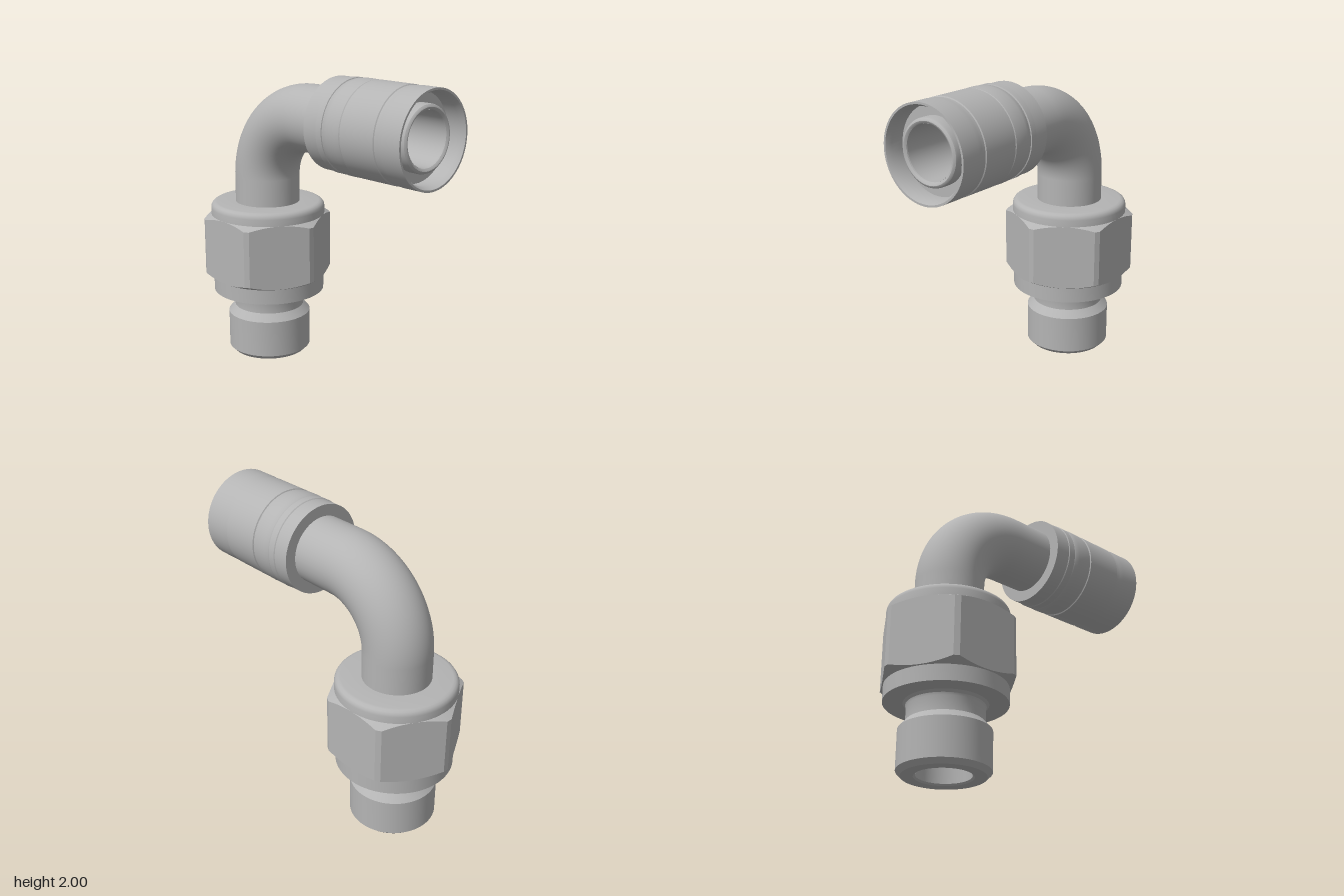
import * as THREE from 'three';
import { toCreasedNormals } from 'three/addons/utils/BufferGeometryUtils.js';

const AXIS_X = -0.51; // vertical axis of nut and threaded end
const AXIS_Y = 1.7;   // horizontal axis of the sleeve
const BEND = 0.44;    // centre-line radius of the elbow

export function createModel() {
  const group = new THREE.Group();
  const steel = new THREE.MeshStandardMaterial({ color: 0xb4b4b4, side: THREE.DoubleSide });
  steel.name = 'steel grey';

  const add = (name, geometry, parent = group) => {
    const mesh = new THREE.Mesh(geometry, steel);
    mesh.name = name;
    parent.add(mesh);
    return mesh;
  };

  // Turned part from [radius, height] pairs, with crisp machined edges
  const turned = (pairs) => toCreasedNormals(
    new THREE.LatheGeometry(pairs.map(([r, h]) => new THREE.Vector2(r, h)), 72), 0.45);
  const vertical = (name, pairs) => add(name, turned(pairs).translate(AXIS_X, 0, 0));
  const horizontal = (name, pairs) =>
    add(name, turned(pairs).rotateZ(-Math.PI / 2).translate(0, AXIS_Y, 0));

  // Pipe: straight riser, quarter bend, straight run
  const bentPipe = (name, radius, yStart, xEnd) => {
    const pipe = new THREE.Group();
    pipe.name = name;
    group.add(pipe);
    const cx = AXIS_X + BEND, cy = AXIS_Y - BEND;
    add(name + 'Riser', new THREE.CylinderGeometry(radius, radius, cy - yStart, 64, 1, true)
      .translate(AXIS_X, (cy + yStart) / 2, 0), pipe);
    add(name + 'Bend', new THREE.TorusGeometry(BEND, radius, 64, 48, Math.PI / 2)
      .rotateZ(Math.PI / 2).translate(cx, cy, 0), pipe);
    add(name + 'Run', new THREE.CylinderGeometry(radius, radius, xEnd - cx, 64, 1, true)
      .rotateZ(Math.PI / 2).translate((cx + xEnd) / 2, AXIS_Y, 0), pipe);
  };
  bentPipe('elbow', 0.22, 1.0, 0.2);
  bentPipe('bore', 0.168, 0.01, 0.885);

  // Threaded end with chamfers and undercut neck
  vertical('threadedEnd', [
    [0.168, 0.012], [0.18, 0], [0.255, 0], [0.285, 0.03], [0.285, 0.28], [0.24, 0.33],
    [0.24, 0.42], [0.245, 0.435], [0.26, 0.45],
  ]);

  // Round flange below the hexagon
  vertical('lowerFlange', [[0.2, 0.45], [0.383, 0.45], [0.383, 0.56]]);

  // Rounded collar above the hexagon
  vertical('upperCollar', [
    [0.39, 0.97], [0.39, 1.04], [0.387, 1.055], [0.379, 1.068], [0.366, 1.077], [0.35, 1.08], [0.2, 1.08],
  ]);

  add('hexNut', hexNut(0.39, 0.44, 0.55, 1.0).translate(AXIS_X, 0, 0));

  // Crimped sleeve with grooves and an open end
  horizontal('sleeve', [
    [0.2, 0.17], [0.295, 0.17], [0.295, 0.275], [0.3, 0.28], [0.3, 0.325], [0.294, 0.328], [0.294, 0.333],
    [0.298, 0.34], [0.301, 0.37], [0.302, 0.405], [0.301, 0.44], [0.298, 0.47], [0.294, 0.475],
    [0.294, 0.48], [0.301, 0.484], [0.301, 0.745], [0.295, 0.75], [0.295, 0.757],
    [0.298, 0.78], [0.301, 0.81], [0.301, 0.945], [0.288, 0.945], [0.272, 0.91], [0.272, 0.82], [0.17, 0.82],
  ]);

  // Inner nipple with rounded lip
  horizontal('nipple', [
    [0.205, 0.81], [0.205, 0.882], [0.202, 0.892], [0.195, 0.899], [0.187, 0.902],
    [0.179, 0.899], [0.171, 0.892], [0.168, 0.882],
  ]);
  return group;
}

// Hexagonal prism with trimmed corners and conical chamfers at both ends
function hexNut(apothem, corner, yBottom, yTop) {
  const half = Math.acos(apothem / corner);
  const angles = [];
  for (let side = 0; side < 6; side++) {
    for (let k = -5; k <= 5; k++) angles.push([side * Math.PI / 3, half * k / 5]);
  }
  // Cross-sections from the lower face to the upper face
  const inner = apothem - 0.01;
  const ring = (y, dir) => angles.map(([base, off]) => {
    const r = dir ? apothem / Math.cos(off) : inner;
    const drop = dir ? (r - inner) * 0.55 * dir : 0;
    return [r * Math.sin(base + off), y + drop, r * Math.cos(base + off)];
  });
  const rings = [ring(yBottom, 0), ring(yBottom, 1), ring(yTop, -1), ring(yTop, 0)];
  const n = angles.length, positions = rings.flat(2), index = [];
  for (let j = 0; j < rings.length - 1; j++) {
    for (let i = 0; i < n; i++) {
      const a = j * n + i, b = j * n + (i + 1) % n;
      index.push(a, b, b + n, a, b + n, a + n);
    }
  }
  // End caps
  const low = positions.length / 3, high = low + 1, top = 3 * n;
  positions.push(0, yBottom, 0, 0, yTop, 0);
  for (let i = 0; i < n; i++) {
    const k = (i + 1) % n;
    index.push(low, k, i, high, top + i, top + k);
  }
  const geometry = new THREE.BufferGeometry();
  geometry.setAttribute('position', new THREE.Float32BufferAttribute(positions, 3));
  geometry.setIndex(index);
  return toCreasedNormals(geometry, 0.3);
}
